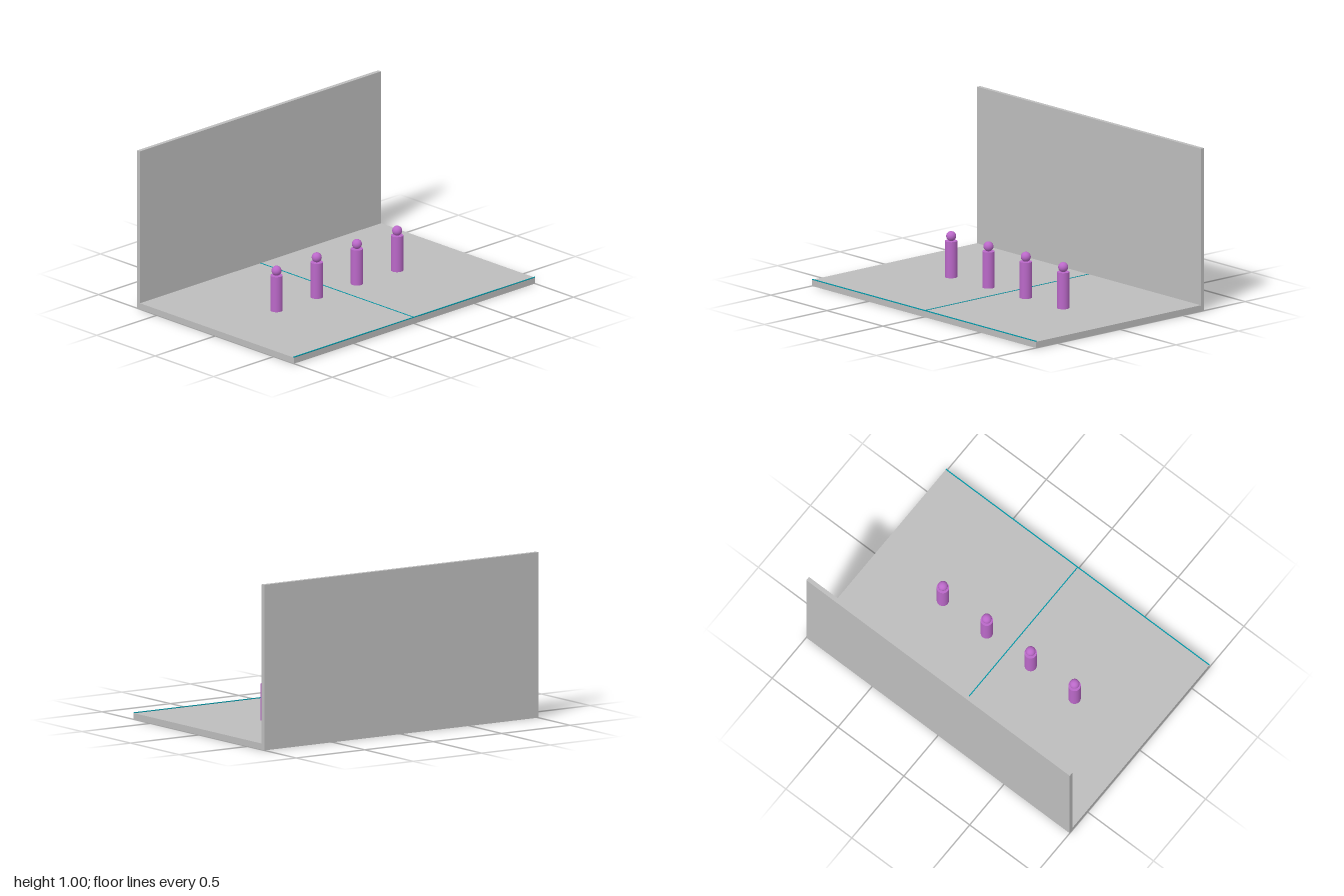
import * as THREE from 'three';

export function createModel() {
  const model = new THREE.Group();
  model.name = 'stage';

  const material = (name, color) => {
    const m = new THREE.MeshStandardMaterial({ color });
    m.name = name;
    return m;
  };
  const grey = material('light grey', 0xbdbdbd);
  const purple = material('purple', 0xba68c8);
  const teal = material('teal', 0x0097a7);

  const add = (parent, name, geometry, mat, x, y, z) => {
    const mesh = new THREE.Mesh(geometry, mat);
    mesh.name = name;
    mesh.position.set(x, y, z);
    parent.add(mesh);
    return mesh;
  };
  const box = (name, mat, w, h, d, x, y, z) =>
    add(model, name, new THREE.BoxGeometry(w, h, d), mat, x, y, z);

  const floorTop = 0.038;
  const back = -0.672, front = 0.672;
  const wallFront = back + 0.026;

  // Floor slab butted against the full-height back wall
  box('floor', grey, 2, floorTop, front - wallFront, 0, floorTop / 2, (front + wallFront) / 2);
  box('backWall', grey, 2, 1, 0.026, 0, 0.5, back + 0.013);

  // Thin marking lines: front edge and centre
  box('frontLine', teal, 2, 0.006, 0.006, 0, floorTop + 0.002, front - 0.003);
  box('centreLine', teal, 0.006, 0.003, front - wallFront - 0.006, 0, floorTop + 0.001,
    (front + wallFront - 0.006) / 2);

  // Row of four simple standing figures
  const bodyHeight = 0.222;
  const bodyGeometry = new THREE.CylinderGeometry(0.037, 0.037, bodyHeight, 32);
  const headGeometry = new THREE.SphereGeometry(0.03, 32, 20);
  for (let i = 0; i < 4; i++) {
    const figure = new THREE.Group();
    figure.name = 'figure' + (i + 1);
    figure.position.set(-0.5 + i / 3, floorTop, 0.007);
    add(figure, 'body', bodyGeometry, purple, 0, bodyHeight / 2, 0);
    add(figure, 'head', headGeometry, purple, 0, bodyHeight + 0.029, 0);
    model.add(figure);
  }

  return model;
}
